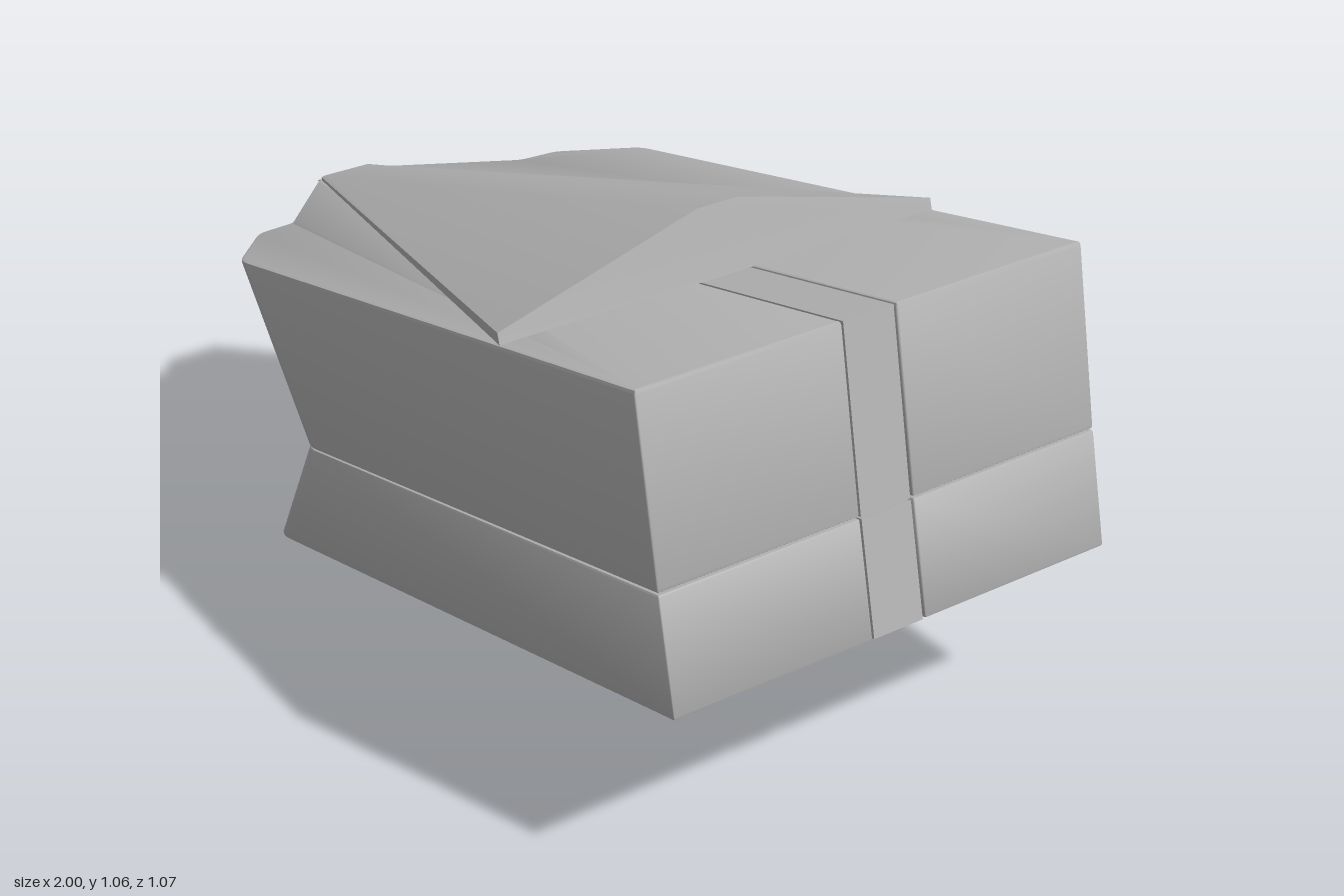
import * as THREE from 'three';
import { toCreasedNormals } from 'three/addons/utils/BufferGeometryUtils.js';

const hullGrey = new THREE.MeshStandardMaterial({ color: 0xb4b4b4 });
hullGrey.name = 'hull grey';

const BEVEL = 0.006;

// Deck and seam lines both climb towards the rear.
const deckY = x => 0.63 + 0.198 * (x + 1);
const seamY = x => 0.29 + 0.196 * (x + 0.74);

function mesh(name, geometry, crease) {
  const m = new THREE.Mesh(toCreasedNormals(geometry, crease), hullGrey);
  m.name = name;
  return m;
}

// Closed outline with softened corners; each point is [x, z, radius].
function softOutline(points) {
  const shape = new THREE.Shape();
  const n = points.length;
  points.forEach((p, i) => {
    const corner = new THREE.Vector2(p[0], p[1]);
    const cut = q => new THREE.Vector2(q[0], q[1]).sub(corner).setLength(p[2]).add(corner);
    const a = cut(points[(i + n - 1) % n]);
    const b = cut(points[(i + 1) % n]);
    if (i === 0) shape.moveTo(a.x, a.y);
    else shape.lineTo(a.x, a.y);
    shape.quadraticCurveTo(corner.x, corner.y, b.x, b.y);
  });
  shape.closePath();
  return shape;
}

// Side block: stepped plan outline swept down, with raked front and square rear.
function sideBlock(name, side, noseX, rearX, topY, front, rear) {
  const shape = softOutline([
    [noseX, side * 0.066, 0.004],
    [noseX + 0.29, side * 0.308, 0.012],
    [noseX + 0.3, side * 0.4, 0.02],
    [noseX + 0.46, side * 0.537, 0.03],
    [rearX, side * 0.537, 0.004],
    [rearX, side * 0.066, 0.004],
  ]);
  const height = 0.3;
  const geometry = new THREE.ExtrudeGeometry(shape, {
    depth: height - 2 * BEVEL, curveSegments: 4, bevelEnabled: true, bevelSegments: 2,
    bevelSize: BEVEL, bevelOffset: -BEVEL, bevelThickness: BEVEL,
  });
  const pos = geometry.attributes.position;
  for (let i = 0; i < pos.count; i++) {
    const x = pos.getX(i);
    const t = (pos.getZ(i) + BEVEL) / height;
    const [dx, dy] = x > 0.5 ? rear : front;
    pos.setXYZ(i, x + t * dx, topY(x) + t * dy, pos.getY(i));
  }
  return mesh(name, geometry, 0.6);
}

// Solid between a front ring and a rear ring of [x, y, z] points.
function loft(name, front, rear, crease) {
  const n = front.length;
  const v = [];
  for (let i = 0; i < n; i++) {
    const j = (i + 1) % n;
    v.push(...rear[j], ...rear[i], ...front[i], ...rear[j], ...front[i], ...front[j]);
  }
  for (let i = 1; i < n - 1; i++) {
    v.push(...rear[0], ...rear[i], ...rear[i + 1]);
    v.push(...front[0], ...front[i + 1], ...front[i]);
  }
  const geometry = new THREE.BufferGeometry();
  geometry.setAttribute('position', new THREE.Float32BufferAttribute(v, 3));
  return mesh(name, geometry, crease);
}

// Ring mirrored across z from [x, y, halfWidth] levels, bottom to top.
function ring(levels) {
  const right = levels.map(([x, y, w]) => [x, y, -w]);
  const left = levels.map(([x, y, w]) => [x, y, w]).reverse();
  return [...right, ...left];
}

export function createModel() {
  const model = new THREE.Group();
  model.name = 'wedgeHull';

  // Four side blocks, two per side
  for (const [label, side] of [['left', -1], ['right', 1]]) {
    const flank = side > 0 ? 'front' : 'back';
    model.add(
      sideBlock(`${flank}UpperBlock`, side, -1, 0.872, deckY, [0.26, -0.34], [0.074, -0.379]),
      sideBlock(`${flank}LowerBlock`, side, -0.74, 0.947, seamY, [-0.14, -0.28], [0.053, -0.24]),
    );
  }

  // Centre spine, and keel that narrows towards its lower nose
  const w = 0.061;
  model.add(
    loft('centreSpine',
      ring([[-0.74, 0.292, w], [-1, 0.628, w]]),
      ring([[0.944, 0.621, w], [0.87, 0.998, w]]), 0.3),
    loft('centreKeel',
      ring([[-0.94, 0, 0.022], [-0.73, 0.288, w]]),
      ring([[0.998, 0.38, w], [0.946, 0.617, w]]), 0.3),
  );

  // Raised wedge on the deck, with a thin rim and a soft ridge
  model.add(loft('deckWedge',
    ring([[-0.985, 0.63, 0.066], [-0.985, 0.64, 0.066], [-0.98, 0.645, 0.058]]),
    ring([[0.45, 0.915, 0.535], [0.443, 0.94, 0.535], [0.418, 1.058, 0.05]]), 0.5));

  return model;
}
